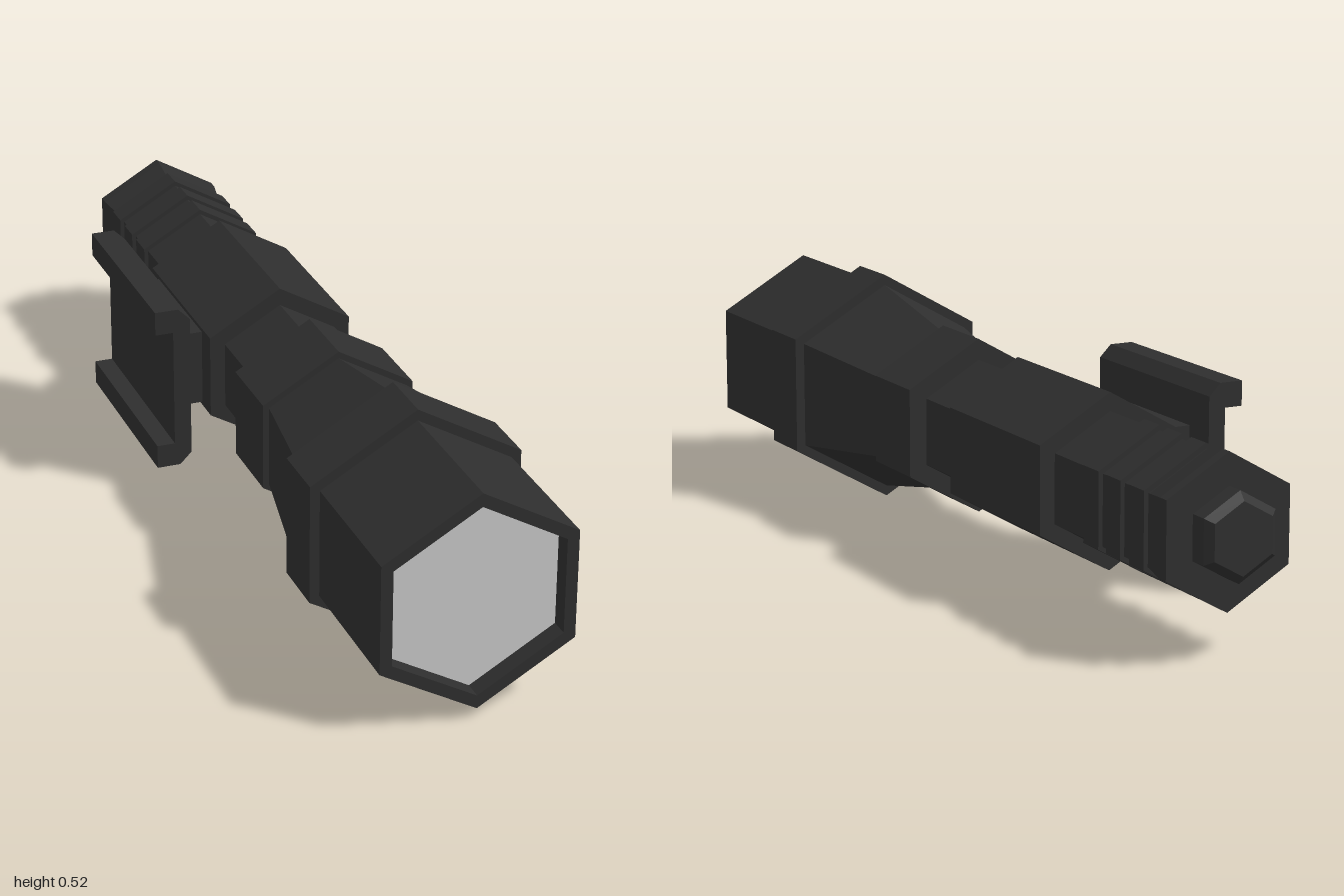
import * as THREE from 'three';

const AXIS_X = 0.033, AXIS_Y = 0.262;

const blackMetal = new THREE.MeshStandardMaterial({ color: 0x2e2e2e });
blackMetal.name = 'black metal';
const lensGrey = new THREE.MeshStandardMaterial({ color: 0xc8c8c8 });
lensGrey.name = 'lens grey';

function addMesh(parent, name, geometry, material) {
  // Unshared corners give every facet its own flat normal
  const flat = geometry.index ? geometry.toNonIndexed() : geometry;
  flat.computeVertexNormals();
  const mesh = new THREE.Mesh(flat, material);
  mesh.name = name;
  parent.add(mesh);
  return mesh;
}

// Six-sided turned part along z; profile holds [z, corner radius] from back to front
function hexPart(parent, name, profile, material = blackMetal) {
  const points = profile.map(([z, r]) => new THREE.Vector2(r, z));
  const geometry = new THREE.LatheGeometry(points, 6);
  geometry.rotateX(Math.PI / 2);
  return addMesh(parent, name, geometry, material);
}

// Straight hexagonal ring, closed at both ends
function hexRing(parent, name, back, front, radius) {
  return hexPart(parent, name, [[back, 0], [back, radius], [front, radius], [front, 0]]);
}

export function createModel() {
  const model = new THREE.Group();
  model.name = 'flashlight';

  const barrel = new THREE.Group();
  barrel.name = 'barrel';
  barrel.position.set(AXIS_X, AXIS_Y, 0);
  model.add(barrel);

  // Tail button with a small bevel
  hexPart(barrel, 'tailButton', [[-1, 0], [-1, 0.074], [-0.985, 0.092], [-0.94, 0.092]]);

  // Flared tail cap
  hexPart(barrel, 'tailCap', [[-0.945, 0], [-0.945, 0.159], [-0.92, 0.159], [-0.865, 0.147]]);

  // Core tube and its grip ridges
  hexRing(barrel, 'coreTube', -0.87, 0.09, 0.147);
  for (const [back, front] of [[-0.86, -0.805], [-0.77, -0.715], [-0.685, -0.625]]) {
    hexRing(barrel, 'gripRidge', back, front, 0.158);
  }

  // Thick middle section and neck collar
  hexRing(barrel, 'middleSection', -0.49, -0.095, 0.186);
  hexRing(barrel, 'neckCollar', 0.085, 0.255, 0.193);

  // Widening head
  hexPart(barrel, 'headTaper', [[0.25, 0.177], [0.55, 0.236]]);
  hexRing(barrel, 'headCollar', 0.55, 0.68, 0.26);

  // Lamp housing with a recessed lens
  hexPart(barrel, 'lampHousing', [[0.67, 0.236], [1, 0.236], [1, 0.207], [0.955, 0.207]]);
  hexPart(barrel, 'lens', [[0.96, 0.207], [0.96, 0]], lensGrey);

  // Side rail clamp, a channel opening outwards
  const half = [[-0.22, 0.133], [-0.26, 0.133], [-0.26, 0.186], [-0.208, 0.186], [-0.182, 0.16]];
  const outline = [...half, ...half.map(([x, y]) => [x, -y]).reverse()];
  const channel = new THREE.Shape(outline.map(([x, y]) => new THREE.Vector2(x, y + AXIS_Y)));
  const railGeometry = new THREE.ExtrudeGeometry(channel, { depth: 0.45, bevelEnabled: false });
  railGeometry.translate(0, 0, -0.52);
  addMesh(model, 'railClamp', railGeometry, blackMetal);

  // Block joining the clamp to the middle section
  const block = addMesh(model, 'clampBlock', new THREE.BoxGeometry(0.09, 0.17, 0.295), blackMetal);
  block.position.set(-0.145, AXIS_Y, -0.297);

  return model;
}
